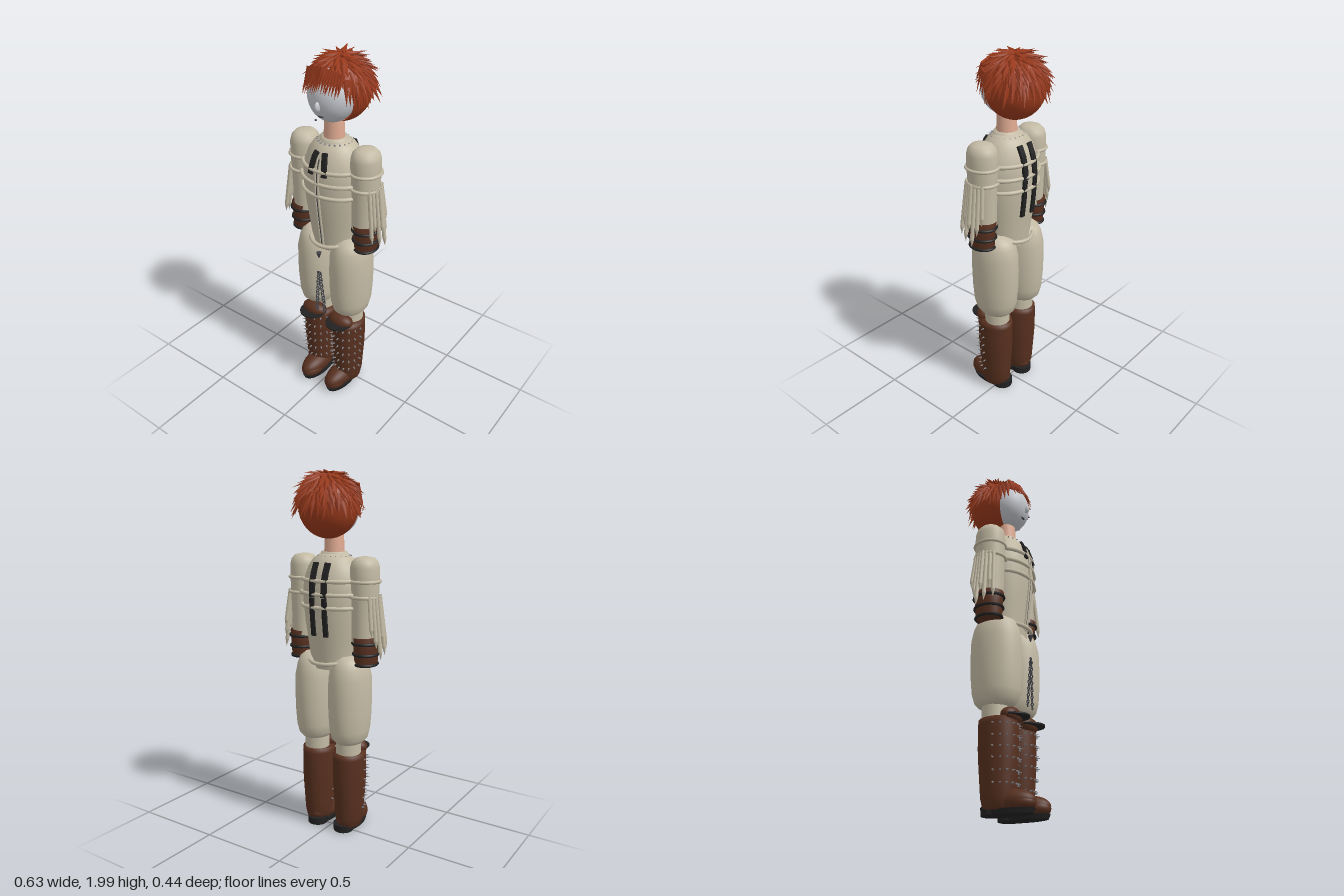
import * as THREE from 'three';
import { mergeGeometries } from 'three/addons/utils/BufferGeometryUtils.js';

const V = (x, y, z) => new THREE.Vector3(x, y, z);

function material(name, color, side = THREE.FrontSide) {
  const m = new THREE.MeshStandardMaterial({ color, side });
  m.name = name;
  return m;
}

export function createModel() {
  const root = new THREE.Group();
  const cream = material('cream cloth', 0xc4bba5, THREE.DoubleSide);
  const brown = material('brown leather', 0x57301f);
  const hairMat = material('red hair', 0x9a3a1c, THREE.DoubleSide);
  const faceMat = material('pale face', 0xc6c9cf);
  const skin = material('skin', 0xe0ab92);
  const black = material('black', 0x222222);
  const steel = material('steel', 0x85878c);
  const iron = material('dark iron', 0x45464c);

  let seed = 7;
  const rnd = () => (seed = (seed * 16807) % 2147483647) / 2147483647;

  function add(name, geo, mat, x = 0, y = 0, z = 0, parent = root) {
    const m = new THREE.Mesh(geo, mat);
    m.name = name;
    m.position.set(x, y, z);
    parent.add(m);
    return m;
  }
  // Elliptical lathe from [radius, y] points
  const lathe = (pts, sx = 1, sz = 1, n = 32) =>
    new THREE.LatheGeometry(pts.map(p => new THREE.Vector2(p[0], p[1])), n).scale(sx, 1, sz);
  const ball = (rx, ry, rz) => new THREE.SphereGeometry(1, 28, 18).scale(rx, ry, rz);
  // Closed elliptical cord, optionally sagging toward the front
  function cord(rx, rz, r, sag = 0) {
    const pts = [];
    for (let i = 0; i < 24; i++) {
      const a = i / 24 * Math.PI * 2;
      pts.push(V(rx * Math.sin(a), -sag * Math.cos(a) ** 2, rz * Math.cos(a)));
    }
    return new THREE.TubeGeometry(new THREE.CatmullRomCurve3(pts, true), 48, r, 7, true);
  }
  // Flattened spike from a point along a direction, with its thin side facing normal
  function spike(from, dir, normal, r, len, flat = 1, sides = 5) {
    const y = dir.clone().normalize();
    const x = V().crossVectors(y, normal).normalize();
    const z = V().crossVectors(x, y);
    return new THREE.ConeGeometry(r, len, sides).scale(1, 1, flat).translate(0, len / 2, 0)
      .applyMatrix4(new THREE.Matrix4().makeBasis(x, y, z).setPosition(from));
  }

  // Torso
  const CZ = 0.015, DEPTH = 0.87;
  const torso = [[0.125, 0.95], [0.135, 1.03], [0.148, 1.12], [0.16, 1.2], [0.17, 1.3], [0.172, 1.38],
    [0.163, 1.44], [0.14, 1.5], [0.112, 1.54], [0.075, 1.565], [0.05, 1.57]];
  add('torso', lathe(torso, 1, DEPTH, 40), cream, 0, 0, CZ);
  function onTorso(x, y, side, out = 0) {
    let i = 0;
    while (i < torso.length - 2 && torso[i + 1][1] < y) i++;
    const [r0, y0] = torso[i], [r1, y1] = torso[i + 1];
    const r = r0 + (r1 - r0) * (y - y0) / (y1 - y0);
    return V(x, y, CZ + side * (DEPTH * Math.sqrt(Math.max(0, r * r - x * x)) + out));
  }
  for (const [y, rx, rz] of [[1.43, 0.175, 0.147], [1.36, 0.185, 0.151], [1.29, 0.18, 0.15]])
    add('chestCord', cord(rx, rz, 0.011), cream, 0, y, CZ);
  add('waistCord', cord(0.13, 0.138, 0.011, 0.015), cream, 0, 1.0, CZ);

  // Front placket: two piped edges around a dark seam
  for (const [x, r, mat] of [[-0.009, 0.006, cream], [0.009, 0.006, cream], [0, 0.004, iron]]) {
    const pts = [0.98, 1.08, 1.18, 1.29, 1.37, 1.43, 1.49].map(y => onTorso(x, y, 1, 0.004));
    add('placket', new THREE.TubeGeometry(new THREE.CatmullRomCurve3(pts), 24, r, 6), mat);
  }

  // Straps laid over the torso surface
  function strap(name, x0, x1, ys, side, w) {
    const parts = [];
    for (let i = 0; i < ys.length - 1; i++) {
      const f = k => x0 + (x1 - x0) * k / (ys.length - 1);
      const a = onTorso(f(i), ys[i], side, 0.006), b = onTorso(f(i + 1), ys[i + 1], side, 0.006);
      const y = b.clone().sub(a), len = y.length();
      y.normalize();
      const x = V().crossVectors(y, V(0, 0, side)).normalize();
      parts.push(new THREE.BoxGeometry(w, len + 0.006, 0.014).applyMatrix4(
        new THREE.Matrix4().makeBasis(x, y, V().crossVectors(x, y)).setPosition(a.add(b).multiplyScalar(0.5))));
    }
    add(name, mergeGeometries(parts), black);
  }
  for (const s of [-1, 1]) {
    strap('frontTie', s * 0.042, s * 0.024, [1.41, 1.46, 1.5, 1.52], 1, 0.028);
    strap('backStrap', s * 0.038, s * 0.038, [1.14, 1.24, 1.34], -1, 0.026);
    strap('backStrapUpper', s * 0.036, s * 0.036, [1.35, 1.42, 1.47, 1.52], -1, 0.032);
  }

  // Neck and studded collar
  add('neck', new THREE.CylinderGeometry(0.05, 0.056, 0.14, 24), skin, 0, 1.61, 0.02);
  add('collar', lathe([[0.086, 1.53], [0.082, 1.55], [0.072, 1.575], [0.055, 1.575]], 1, 0.9), cream, 0, 0, 0.02);
  const studs = [];
  for (let i = 0; i < 20; i++) {
    const a = i / 20 * Math.PI * 2, d = V(Math.sin(a), 0.15, Math.cos(a) * 0.92);
    studs.push(spike(V(d.x * 0.08, 1.552, 0.02 + d.z * 0.08), d, V(0, 1, 0), 0.007, 0.018));
  }
  add('collarStuds', mergeGeometries(studs), steel);

  // Head
  add('face', ball(0.125, 0.137, 0.118), faceMat, 0, 1.795, 0.035);
  add('nose', ball(0.013, 0.026, 0.02), faceMat, 0, 1.765, 0.15);
  add('mouth', ball(0.018, 0.005, 0.006), iron, 0, 1.708, 0.127);
  add('lipStud', ball(0.005, 0.005, 0.005), iron, 0, 1.705, 0.165);

  // Hair cap, open around the face
  const HC = V(0, 1.81, -0.035), HR = V(0.157, 0.166, 0.158);
  add('hairCap', new THREE.SphereGeometry(1, 40, 24, 0, Math.PI * 2, 0, 2.13)
    .rotateX(-Math.PI / 2 + 0.17).scale(HR.x, HR.y, HR.z), hairMat, HC.x, HC.y, HC.z);

  // Layered locks radiating from the crown
  const locks = [];
  for (let row = 0; row < 8; row++) {
    const t0 = 0.1 + row * 0.185, n = 9 + Math.round(22 * Math.sin(t0));
    for (let i = 0; i < n; i++) {
      const t = t0 + (rnd() - 0.5) * 0.12, p = (i + rnd() * 0.6 + row * 0.5) / n * Math.PI * 2;
      const front = Math.cos(p);
      if (front > 0.45 && t > 1.0) continue;
      const d = V(Math.sin(t) * Math.sin(p), Math.cos(t), Math.sin(t) * Math.cos(p));
      const down = V(Math.cos(t) * Math.sin(p), -Math.sin(t), Math.cos(t) * Math.cos(p));
      const at = d.clone().multiply(HR).multiplyScalar(0.98).add(HC);
      const dir = down.addScaledVector(d, 0.05 + rnd() * 0.24);
      dir.x += (rnd() - 0.5) * 0.3;
      locks.push(spike(at, dir, d, 0.017 + rnd() * 0.007, 0.075 + rnd() * 0.035, 0.5));
    }
  }
  // Forehead fringe and longer side locks
  for (let i = 0; i < 17; i++) {
    const u = i / 8 - 1, e = Math.abs(u);
    const from = V(u * 0.1, 1.945 - e * 0.02, 0.108 - e * 0.02);
    const tip = V(u * 0.105, 1.825 + rnd() * 0.025 - e * 0.02, 0.165 - e * e * 0.03);
    const dir = tip.clone().sub(from);
    locks.push(spike(from, dir, V(u * 0.5, 0.3, 1), 0.016, dir.length(), 0.45));
  }
  for (const s of [-1, 1]) for (let i = 0; i < 6; i++) {
    const from = V(s * (0.112 + i * 0.007), 1.9 - i * 0.008, 0.08 - i * 0.018);
    const dir = V(s * (0.134 + i * 0.005), 1.78 - i * 0.008, 0.1 - i * 0.022).sub(from);
    locks.push(spike(from, dir, V(s, 0.2, 0.5), 0.019, dir.length(), 0.45));
  }
  add('hairLocks', mergeGeometries(locks), hairMat);

  for (const s of [-1, 1]) {
    const side = s > 0 ? 'left' : 'right';
    // Arm: sleeve, cords, cuff
    const arm = new THREE.Group();
    arm.name = side + 'Arm';
    arm.position.set(s * 0.193, 0, 0.016);
    root.add(arm);
    add('sleeve', lathe([[0.066, 1.1], [0.07, 1.25], [0.074, 1.37], [0.077, 1.44], [0.076, 1.5],
      [0.068, 1.53], [0.05, 1.55], [0.025, 1.556], [0, 1.557]], 1, 1.09), cream, 0, 0, 0, arm);
    for (const y of [1.43, 1.35]) add('sleeveCord', cord(0.079, 0.085, 0.009), cream, 0, y, 0, arm);
    add('cuff', lathe([[0, 0.98], [0.054, 0.98], [0.06, 1.0], [0.063, 1.07], [0.068, 1.135], [0.05, 1.138]],
      1, 1.2), brown, s * 0.012, 0, 0, arm);
    for (const [y, r] of [[0.99, 0.059], [1.045, 0.064], [1.105, 0.068]])
      add('cuffBand', cord(r, r * 1.2, 0.008), black, s * 0.012, y, 0, arm);
    // Hanging fringe on the outer sleeve
    for (let i = 0; i < 7; i++) {
      const z = -0.066 + i * 0.022, len = 0.17 + (i * 3 % 7) * 0.02;
      const x0 = s * (0.083 - Math.abs(z) * 0.35);
      const out = 0.035 * len / 0.28;
      const curve = new THREE.LineCurve3(V(x0, 1.36, z * 0.8), V(x0 + s * out, 1.36 - len, z));
      add('fringeStrand', new THREE.TubeGeometry(curve, 1, 0.011, 7), cream, 0, 0, 0, arm);
      add('fringeTip', spike(curve.v2, V(s * 0.12, -1, 0), V(0, 0, 1), 0.011, 0.045, 1, 7), cream, 0, 0, 0, arm);
    }

    // Leg: puffed trousers, stocking, boot
    const leg = new THREE.Group();
    leg.name = side + 'Leg';
    root.add(leg);
    add('trouserLeg', lathe([[0.055, 0.53], [0.075, 0.535], [0.094, 0.56], [0.105, 0.61], [0.111, 0.7], [0.113, 0.8],
      [0.111, 0.9], [0.1, 0.96], [0.085, 1.0], [0.055, 1.025], [0, 1.03]], 1, 1.24), cream, s * 0.11, 0, 0.012, leg);
    add('stocking', new THREE.CylinderGeometry(0.07, 0.07, 0.16, 24), cream, s * 0.105, 0.5, 0.005, leg);
    const bootR = y => 0.076 + 0.013 * Math.min(1, Math.max(0, (y - 0.08) / 0.22));
    const profile = [[0.05, 0.02], [0.066, 0.03]];
    for (let i = 0; i < 7; i++) profile.push([bootR(0.08 + i * 0.06), 0.08 + i * 0.06]);
    profile.push([0.087, 0.465], [0.06, 0.47]);
    add('bootShaft', lathe(profile, 1, 1.18), brown, s * 0.103, 0, 0.022, leg);
    add('bootFoot', ball(0.066, 0.06, 0.138), brown, s * 0.09, 0.062, 0.072, leg);
    add('bootToe', ball(0.06, 0.045, 0.085), brown, s * 0.088, 0.05, 0.125, leg);
    add('sole', new THREE.CylinderGeometry(0.063, 0.058, 0.024, 32).scale(1, 1, 2.2), black, s * 0.089, 0.012, 0.068, leg);
    add('heel', new THREE.CylinderGeometry(0.058, 0.056, 0.04, 24), black, s * 0.089, 0.02, -0.017, leg);
    add('kneePad', ball(0.077, 0.045, 0.05), brown, s * 0.095, 0.48, 0.09, leg);
    add('kneePlate', new THREE.CylinderGeometry(0.074, 0.074, 0.008, 28), black, s * 0.093, 0.475, 0.111, leg);
    const spikes = [];
    for (const y of [0.14, 0.2, 0.26, 0.315, 0.37, 0.43]) for (let i = 0; i < 9; i++) {
      const a = (i / 8 - 0.5) * 2.9, r = bootR(y);
      const d = V(Math.sin(a), 0, Math.cos(a) * 1.18);
      spikes.push(spike(V(s * 0.103 + d.x * r, y, 0.022 + d.z * r), d, V(0, 1, 0), 0.0055, 0.022));
    }
    add('bootSpikes', mergeGeometries(spikes), steel, 0, 0, 0, leg);
  }

  // Buckle drop and hanging chains
  add('buckleDrop', new THREE.ConeGeometry(0.015, 0.04, 8).rotateX(Math.PI), iron, 0, 0.925, 0.16);
  const links = [];
  for (const s of [-1, 1]) for (let i = 0; i < 15; i++) {
    const t = i / 14;
    links.push(new THREE.TorusGeometry(0.0085, 0.0032, 5, 10).rotateY(i % 2 ? 1.2 : 0.2)
      .translate(s * (0.004 + 0.024 * t), 0.81 - 0.26 * t, 0.16 - 0.01 * t));
  }
  add('chains', mergeGeometries(links), iron);
  return root;
}
